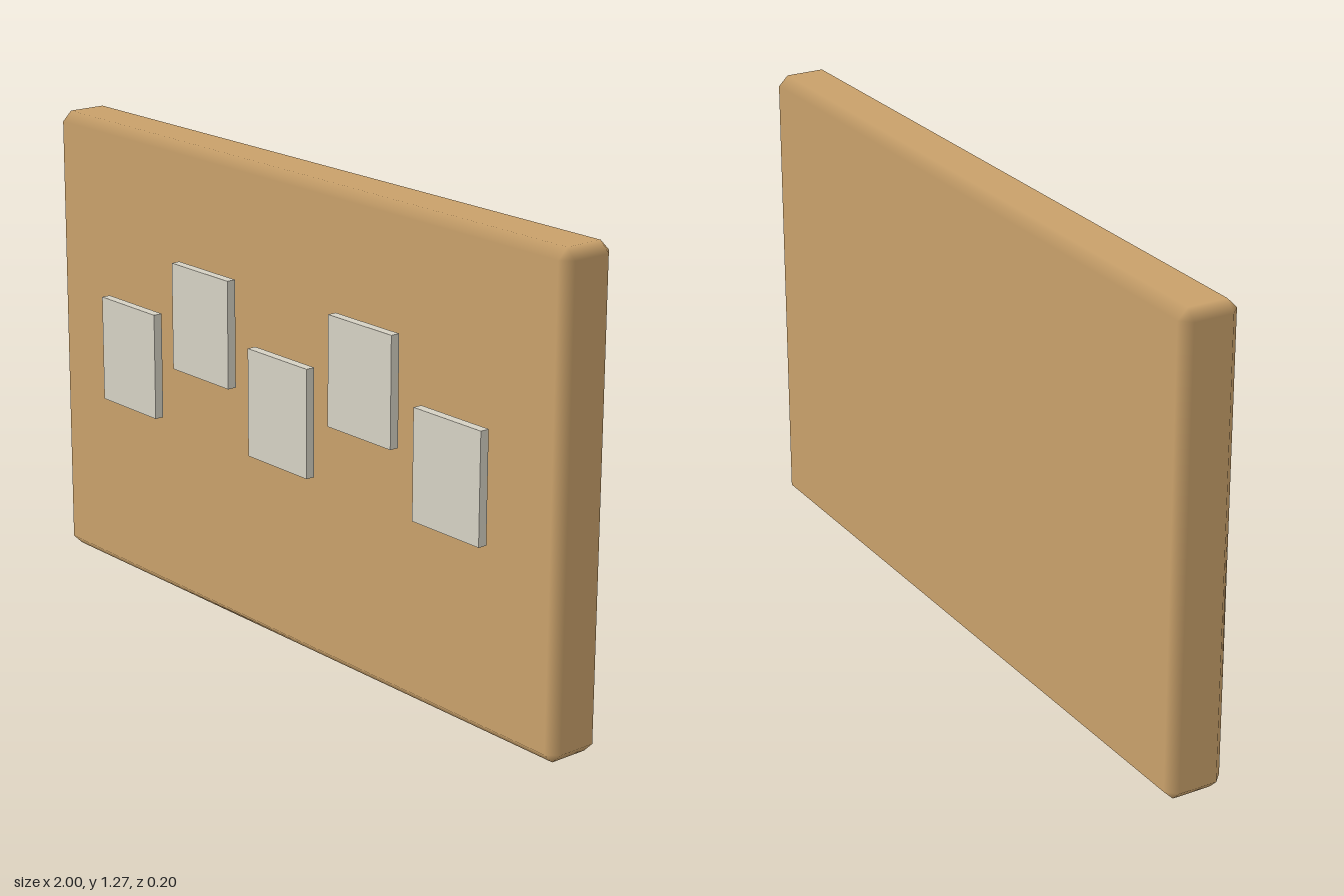
import * as THREE from 'three';
import { ConvexGeometry } from 'three/addons/geometries/ConvexGeometry.js';

// Box with one straight bevel on every edge, shaded smoothly between the flat faces
function bevelledBox(w, h, d, bevel) {
  const half = [w / 2, h / 2, d / 2];
  const points = [];
  for (let axis = 0; axis < 3; axis++)
    for (const sx of [-1, 1]) for (const sy of [-1, 1]) for (const sz of [-1, 1])
      points.push(new THREE.Vector3(...[sx, sy, sz].map((s, i) => s * (half[i] - (i === axis ? 0 : bevel)))));
  const geometry = new ConvexGeometry(points);
  // Each corner takes the normal of the flat face it lies on
  const { position, normal } = geometry.attributes;
  for (let i = 0; i < position.count; i++) {
    const p = [position.getX(i), position.getY(i), position.getZ(i)];
    normal.setXYZ(i, ...p.map((v, k) => (Math.abs(v) > half[k] - bevel / 2 ? Math.sign(v) : 0)));
  }
  return geometry;
}

export function createModel() {
  const group = new THREE.Group();
  group.name = 'noticeBoard';
  const wood = new THREE.MeshStandardMaterial({ color: 0xc8a06a });
  wood.name = 'wood';
  const paper = new THREE.MeshStandardMaterial({ color: 0xd5d1c3 });
  paper.name = 'paper';

  // Board
  const board = new THREE.Mesh(bevelledBox(2, 1.267, 0.16, 0.027), wood);
  board.name = 'board';
  board.position.set(0, 0.6335, -0.02);
  group.add(board);

  // Five cards floating just ahead of the board, alternating low and high
  const cardGeometry = new THREE.BoxGeometry(0.238, 0.291, 0.025);
  for (let i = 0; i < 5; i++) {
    const card = new THREE.Mesh(cardGeometry, paper);
    card.name = `card${i + 1}`;
    card.position.set(0.012 + (i - 2) * 0.321, i % 2 ? 0.81 : 0.649, 0.0875);
    group.add(card);
  }
  return group;
}
